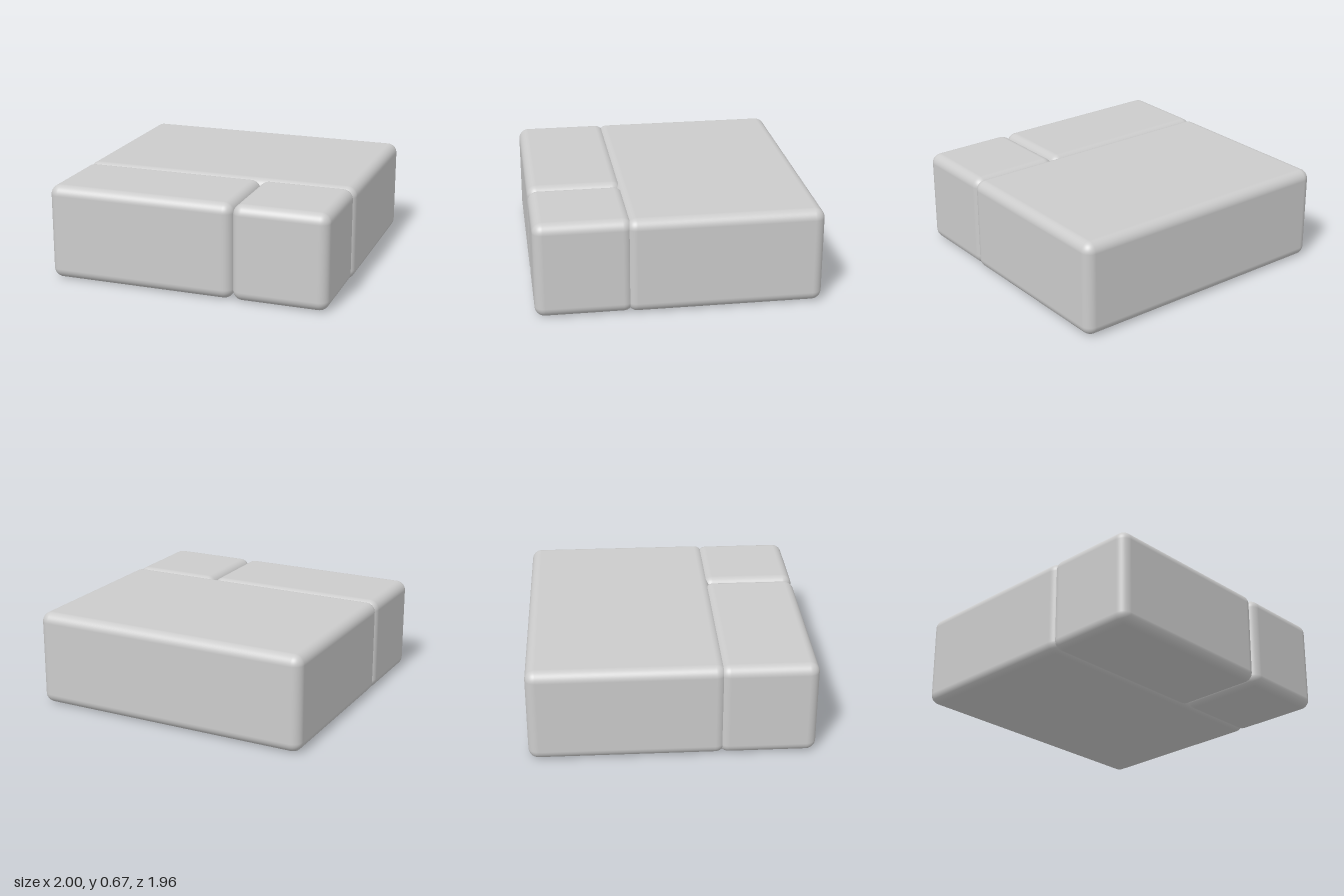
import * as THREE from 'three';
import { RoundedBoxGeometry } from 'three/addons/geometries/RoundedBoxGeometry.js';

const HEIGHT = 0.67;
const RADIUS = 0.07;

export function createModel() {
  const group = new THREE.Group();
  group.name = 'roundedBlocks';
  const material = new THREE.MeshStandardMaterial({ color: 0xcccccc });

  // A rounded block spanning the given x and z ranges, resting on the ground
  const addBlock = (name, x0, x1, z0, z1) => {
    const block = new THREE.Mesh(
      new RoundedBoxGeometry(x1 - x0, HEIGHT, z1 - z0, 6, RADIUS), material);
    block.name = name;
    block.position.set((x0 + x1) / 2, HEIGHT / 2, (z0 + z1) / 2);
    group.add(block);
  };

  // Large rear block, with a long and a cubic block set slightly into its front
  addBlock('rearBlock', -1, 1, -0.98, 0.355);
  addBlock('frontLongBlock', -1, 0.33, 0.31, 0.975);
  addBlock('frontCubeBlock', 0.325, 0.99, 0.31, 0.975);

  return group;
}
